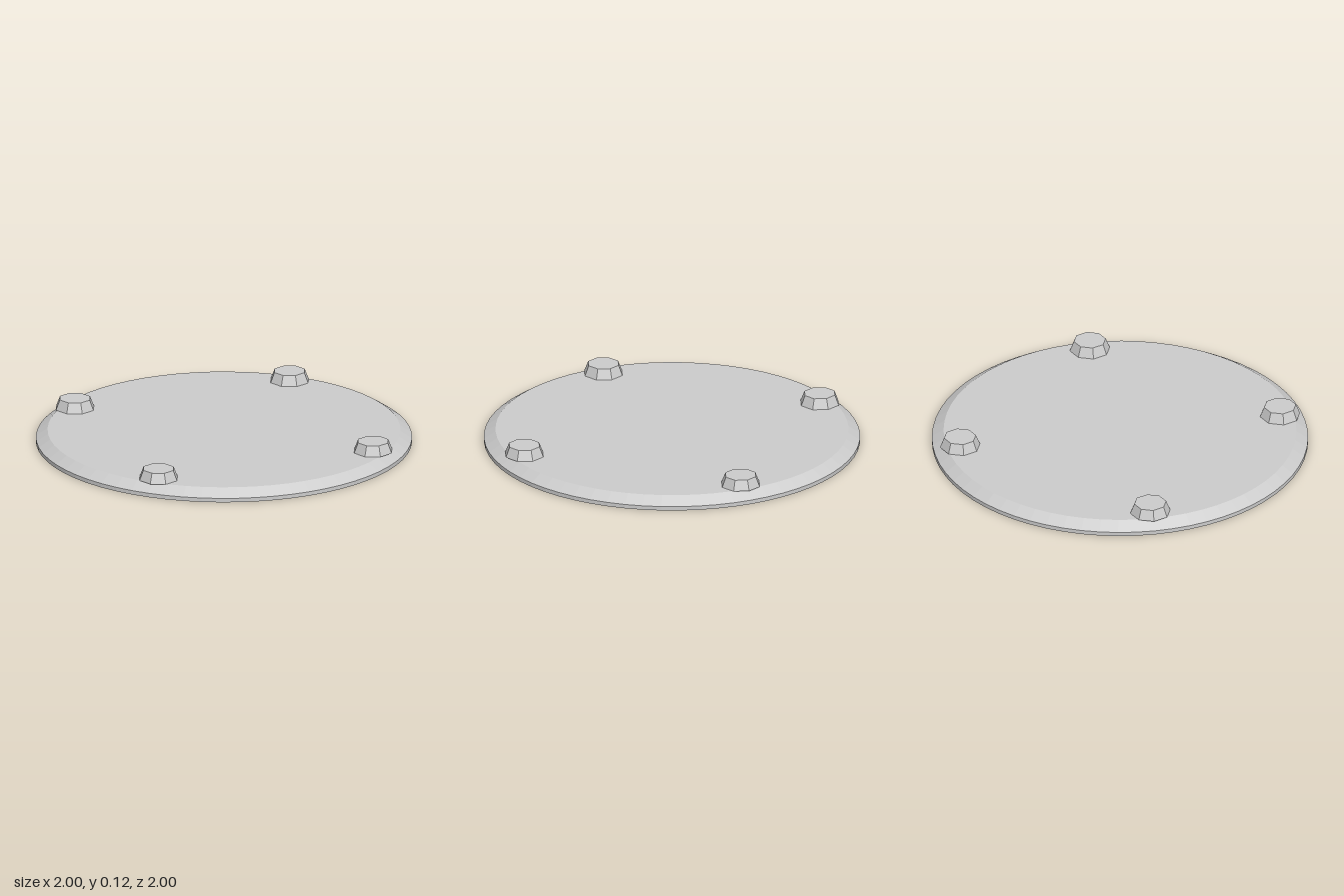
import * as THREE from 'three';

export function createModel() {
  const model = new THREE.Group();
  model.name = 'studdedDisc';

  const grey = new THREE.MeshStandardMaterial({ color: 0xcccccc, flatShading: true, side: THREE.DoubleSide });
  grey.name = 'light grey';

  // Open-bottomed plate: short wall, bevel and flat top
  const profile = [[1, 0], [1, 0.022], [0.938, 0.063], [0, 0.063]].map(([r, y]) => new THREE.Vector2(r, y));
  const plate = new THREE.Mesh(new THREE.LatheGeometry(profile, 64), grey);
  plate.name = 'plate';
  model.add(plate);

  // Four tapered eight-sided studs, overhanging the bevel
  const studGeometry = new THREE.CylinderGeometry(0.086, 0.108, 0.055, 8);
  for (const x of [-1, 1]) {
    for (const z of [-1, 1]) {
      const stud = new THREE.Mesh(studGeometry, grey);
      stud.name = (z > 0 ? 'front' : 'back') + (x > 0 ? 'Left' : 'Right') + 'Stud';
      stud.position.set(x * 0.612, 0.0915, z * 0.612);
      model.add(stud);
    }
  }
  return model;
}
